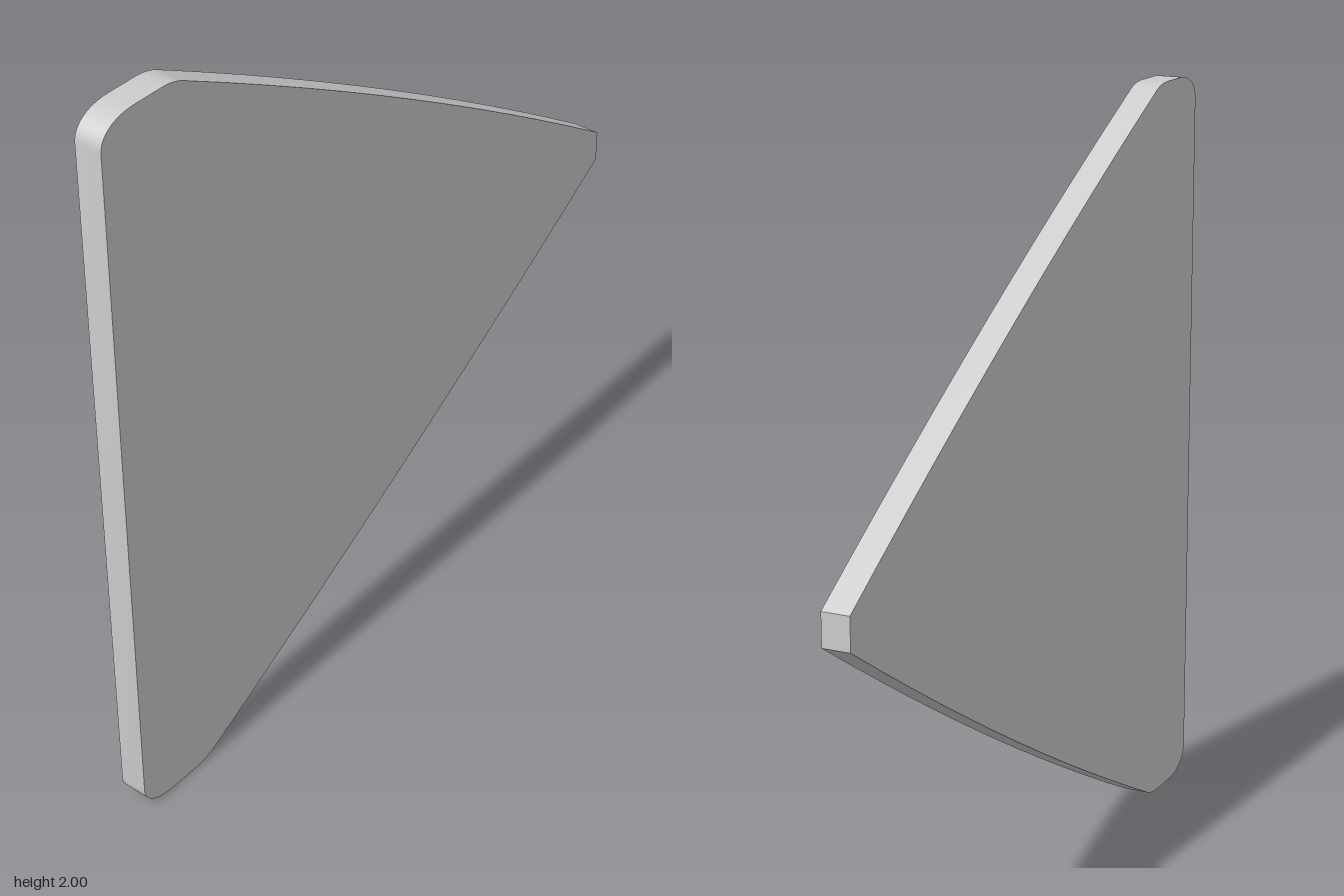
import * as THREE from 'three';
import { toCreasedNormals } from 'three/addons/utils/BufferGeometryUtils.js';

const DEPTH = 0.074;

export function createModel() {
  const group = new THREE.Group();
  group.name = 'triangularPanel';

  // Outline, counter-clockwise and mirrored about y = 1
  const outline = new THREE.Shape();
  outline.moveTo(0.95, 0.957);
  outline.lineTo(0.95, 1.043);                              // blunt tip
  outline.quadraticCurveTo(0.13, 1.57, -0.69, 1.985);       // bowed upper edge
  outline.quadraticCurveTo(-0.72, 2, -0.76, 2);
  outline.lineTo(-0.84, 2);
  outline.bezierCurveTo(-0.91, 2, -0.95, 1.97, -0.95, 1.93); // upper rounded corner
  outline.lineTo(-0.95, 0.07);                              // straight back edge
  outline.bezierCurveTo(-0.95, 0.03, -0.91, 0, -0.84, 0);   // lower rounded corner
  outline.lineTo(-0.76, 0);
  outline.quadraticCurveTo(-0.72, 0, -0.69, 0.015);
  outline.quadraticCurveTo(0.13, 0.43, 0.95, 0.957);        // bowed lower edge

  // Thin plate with sharp rims and smoothly shaded curved edges
  const geometry = new THREE.ExtrudeGeometry(outline, {
    depth: DEPTH, bevelEnabled: false, curveSegments: 12,
  });
  geometry.translate(0, 0, -DEPTH / 2);

  const panel = new THREE.Mesh(
    toCreasedNormals(geometry, 0.5),
    new THREE.MeshStandardMaterial({ color: 0xcccccc }),
  );
  panel.name = 'panel';
  group.add(panel);
  return group;
}
